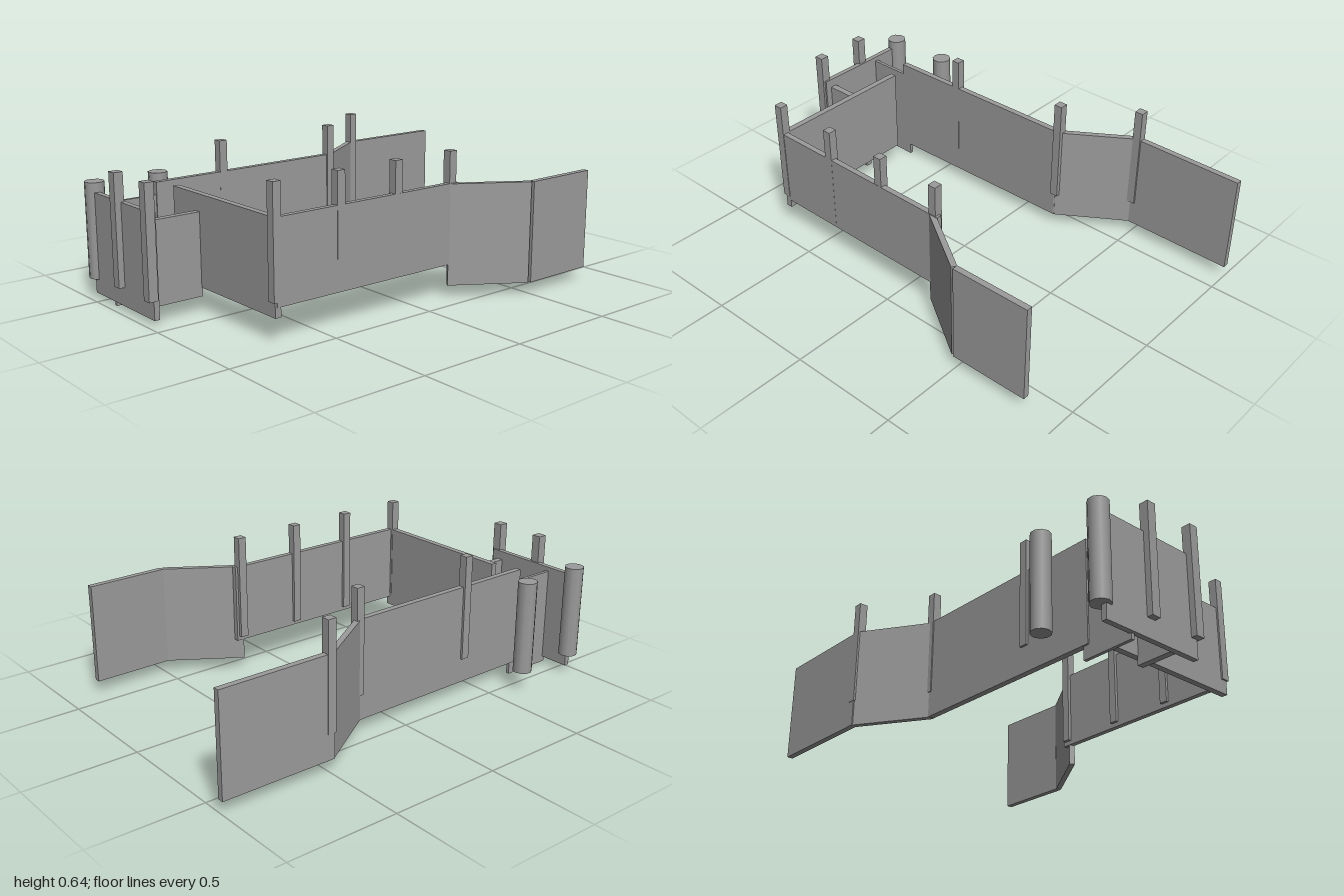
import * as THREE from 'three';

const material = new THREE.MeshStandardMaterial({ color: 0x9b9b9b });

export function createModel() {
  const group = new THREE.Group();

  const add = (name, geometry, x, y, z) => {
    const mesh = new THREE.Mesh(geometry, material);
    mesh.name = name;
    mesh.position.set(x, y, z);
    group.add(mesh);
    return mesh;
  };

  // Upright panel standing on the plan line (x1, z1) to (x2, z2)
  const panel = (name, x1, z1, x2, z2, bottom, top, thickness) => {
    const dx = x2 - x1, dz = z2 - z1;
    const box = new THREE.BoxGeometry(Math.hypot(dx, dz), top - bottom, thickness);
    const mesh = add(name, box, (x1 + x2) / 2, (bottom + top) / 2, (z1 + z2) / 2);
    mesh.rotation.y = Math.atan2(-dz, dx);
  };

  // Square post centred on (x, z)
  const post = (name, x, z, bottom, top, width = 0.038) =>
    add(name, new THREE.BoxGeometry(width, top - bottom, width), x, (bottom + top) / 2, z);

  // Left and right in names are the model's own: left is +x
  // Long side walls
  panel('rightWall', -0.415, -0.2, -0.406, 0.75, 0.057, 0.505, 0.027);
  panel('leftWall', 0.411, -0.23, 0.406, 0.72, 0.15, 0.505, 0.025);

  // Flared wings and straight rear ends
  panel('rightWing', -0.603, -0.485, -0.41, -0.188, 0.056, 0.503, 0.025);
  panel('rightRearWall', -0.602, -1, -0.604, -0.48, 0.056, 0.503, 0.027);
  panel('leftWing', 0.604, -0.485, 0.41, -0.188, 0.056, 0.503, 0.025);
  panel('leftRearWall', 0.602, -0.85, 0.605, -0.49, 0.056, 0.503, 0.027);

  // Front wall and the small entrance box
  panel('frontWall', -0.29, 0.716, 0.415, 0.714, 0.108, 0.505, 0.028);
  panel('entranceFront', -0.55, 0.961, -0.065, 0.961, 0.025, 0.47, 0.024);
  panel('entranceLeftSide', -0.11, 0.725, -0.11, 0.953, 0.07, 0.43, 0.03);
  panel('entranceRightSide', -0.405, 0.72, -0.405, 0.96, 0, 0.45, 0.015);

  // Posts along the walls
  for (const z of [-0.2, 0.106, 0.407, 0.717]) post('leftPost', 0.402, z, 0.17, 0.643);
  for (const z of [-0.197, 0.407]) post('rightPost', -0.414, z, 0.17, 0.643);
  post('rightWingPost', -0.601, -0.494, 0.17, 0.643);
  for (const x of [-0.318, -0.076]) post('entrancePost', x, 0.979, 0.108, 0.595, 0.042);

  // Round bollards beside the entrance
  for (const z of [0.646, 0.953])
    add('bollard', new THREE.CylinderGeometry(0.043, 0.043, 0.422, 10), -0.557, 0.301, z);

  return group;
}
